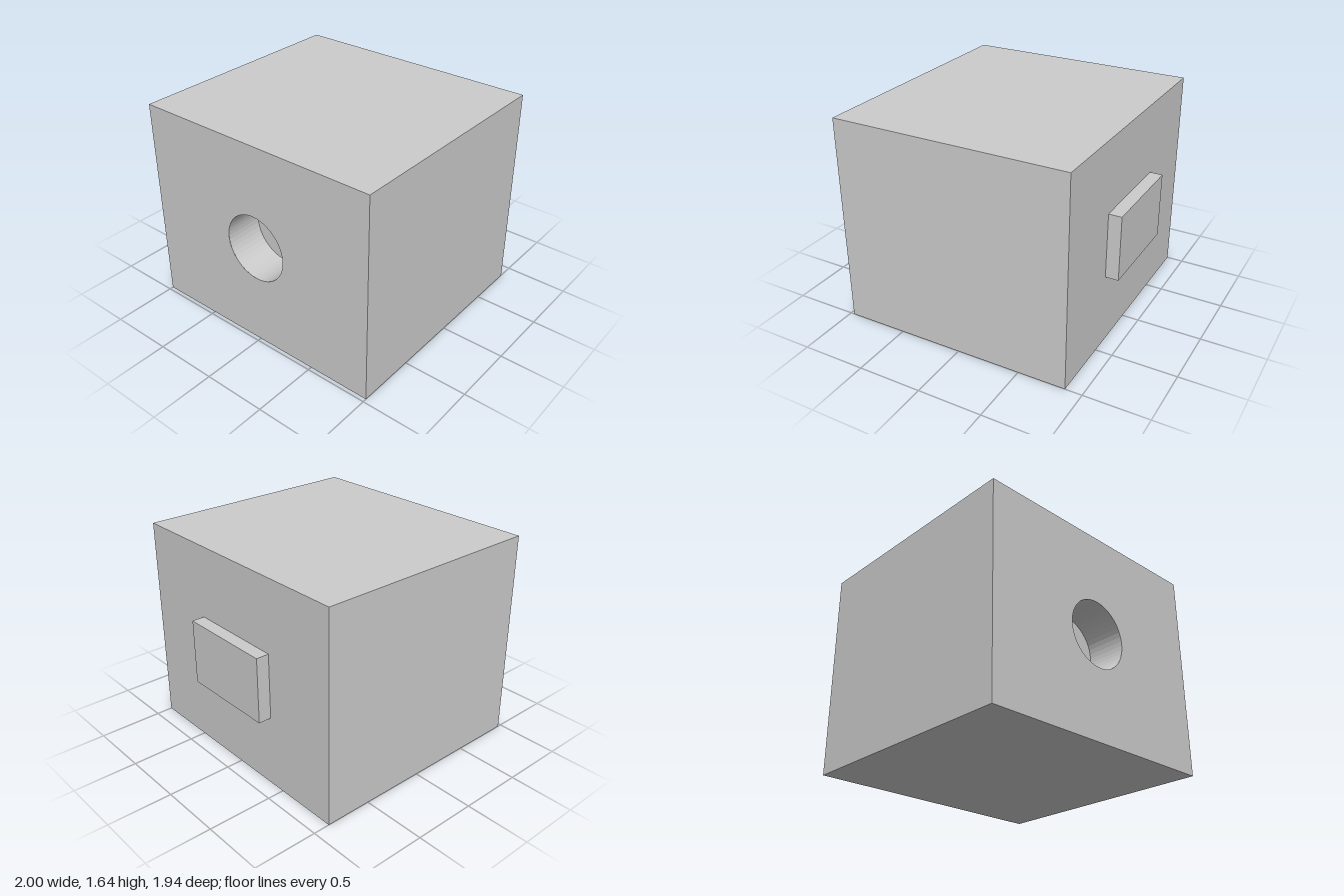
import * as THREE from 'three';

const W = 2, H = 1.64, BACK = -0.87, FRONT = 0.97, MID_Y = H / 2;
const HOLE_R = 0.262, HOLE_DEPTH = 0.3, SIDES = 48;

export function createModel() {
  const group = new THREE.Group();
  const material = new THREE.MeshStandardMaterial({ color: 0xcccccc, flatShading: true });
  const add = (name, geometry, y, z) => {
    const mesh = new THREE.Mesh(geometry, material);
    mesh.name = name;
    mesh.position.set(0, y, z);
    group.add(mesh);
  };

  // Block: a box whose front side (+z, fifth of six) is left open for the drilled face
  const block = new THREE.BoxGeometry(W, H, FRONT - BACK);
  block.setIndex(Array.from(block.index.array).filter((_, i) => i < 24 || i >= 30));
  block.clearGroups();
  add('block', block, MID_Y, (FRONT + BACK) / 2);

  // Front face with the round opening
  const face = new THREE.Shape([
    new THREE.Vector2(-W / 2, -H / 2), new THREE.Vector2(W / 2, -H / 2),
    new THREE.Vector2(W / 2, H / 2), new THREE.Vector2(-W / 2, H / 2),
  ]);
  face.holes.push(new THREE.Path().absarc(0, 0, HOLE_R, 0, Math.PI * 2, true));
  add('frontFace', new THREE.ShapeGeometry(face, SIDES), MID_Y, FRONT);

  // Blind hole: wall and floor turned in one profile, running inward from the rim
  const hole = new THREE.LatheGeometry([
    new THREE.Vector2(HOLE_R, 0),
    new THREE.Vector2(HOLE_R, -HOLE_DEPTH),
    new THREE.Vector2(0, -HOLE_DEPTH),
  ], SIDES);
  hole.rotateX(Math.PI / 2);
  add('blindHole', hole, MID_Y, FRONT);

  // Raised rectangular pad on the back
  add('backPad', new THREE.BoxGeometry(0.77, 0.51, 0.1), MID_Y, BACK - 0.05);

  return group;
}
